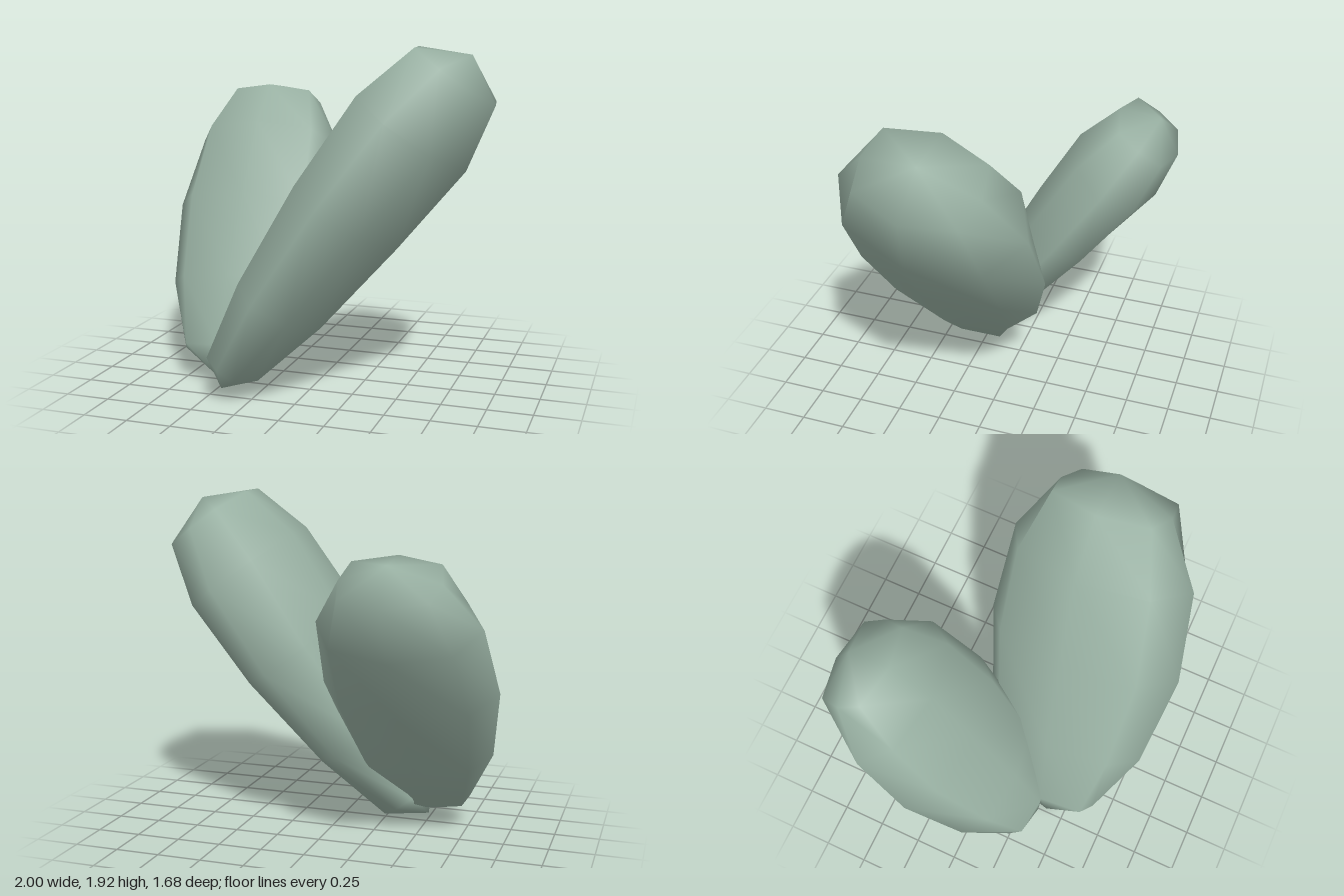
import * as THREE from 'three';
import { mergeVertices } from 'three/addons/utils/BufferGeometryUtils.js';

// Height, half width, half thickness and corner squareness of each ring, top to bottom (unit pad)
const RINGS = [
  [1, 0, 0, 1],
  [0.885, 0.55, 0.75, 0.88],
  [0.577, 0.91, 1, 0.73],
  [0.1, 1, 0.89, 0.72],
  [-0.43, 0.84, 0.7, 0.72],
  [-0.84, 0.49, 0.41, 0.86],
  [-1, 0, 0, 1],
];

// Low-poly pad: an 8 x 6 sphere whose rings follow the profile above
function padGeometry(halfWidth, halfLength, halfThickness) {
  const sides = 8, rows = RINGS.length - 1;
  const geo = new THREE.SphereGeometry(1, sides, rows);
  const pos = geo.attributes.position;
  for (let i = 0; i < pos.count; i++) {
    const [h, w, t, corner] = RINGS[Math.floor(i / (sides + 1))];
    const k = (i % (sides + 1)) % sides;
    const a = k / sides * Math.PI * 2;
    // odd vertices are the corners between the flat sides and the rim
    const cx = k % 2 ? Math.sign(Math.cos(a)) * corner : Math.cos(a);
    pos.setXYZ(i, -cx * w * halfWidth, h * halfLength, Math.sin(a) * t * halfThickness);
  }
  geo.deleteAttribute('uv');
  geo.deleteAttribute('normal');
  const welded = mergeVertices(geo, 1e-4);
  welded.computeVertexNormals();
  return welded;
}

export function createModel() {
  const group = new THREE.Group();
  group.name = 'cactusPads';
  const material = new THREE.MeshStandardMaterial({ color: 0x98b0a2 });

  // Place a pad between its bottom and top tips, its width along a given direction
  function addPad(name, bottom, top, widthDir, halfWidth, halfThickness) {
    const b = new THREE.Vector3(...bottom), t = new THREE.Vector3(...top);
    const axis = t.clone().sub(b);
    const halfLength = axis.length() / 2;
    axis.normalize();
    const face = new THREE.Vector3(...widthDir).cross(axis).normalize();
    const width = axis.clone().cross(face);
    const pad = new THREE.Mesh(padGeometry(halfWidth, halfLength, halfThickness), material);
    pad.name = name;
    pad.quaternion.setFromRotationMatrix(new THREE.Matrix4().makeBasis(width, axis, face));
    pad.position.copy(b).add(t).multiplyScalar(0.5);
    group.add(pad);
  }

  addPad('smallPad', [-0.515, 0.055, 0.35], [-0.515, 1.62, -0.73], [1, 0, 0], 0.485, 0.278);
  addPad('largePad', [-0.48, 0.005, 0.39], [0.86, 1.88, 0.16], [-0.06, 0.157, 0.985], 0.588, 0.348);
  return group;
}
